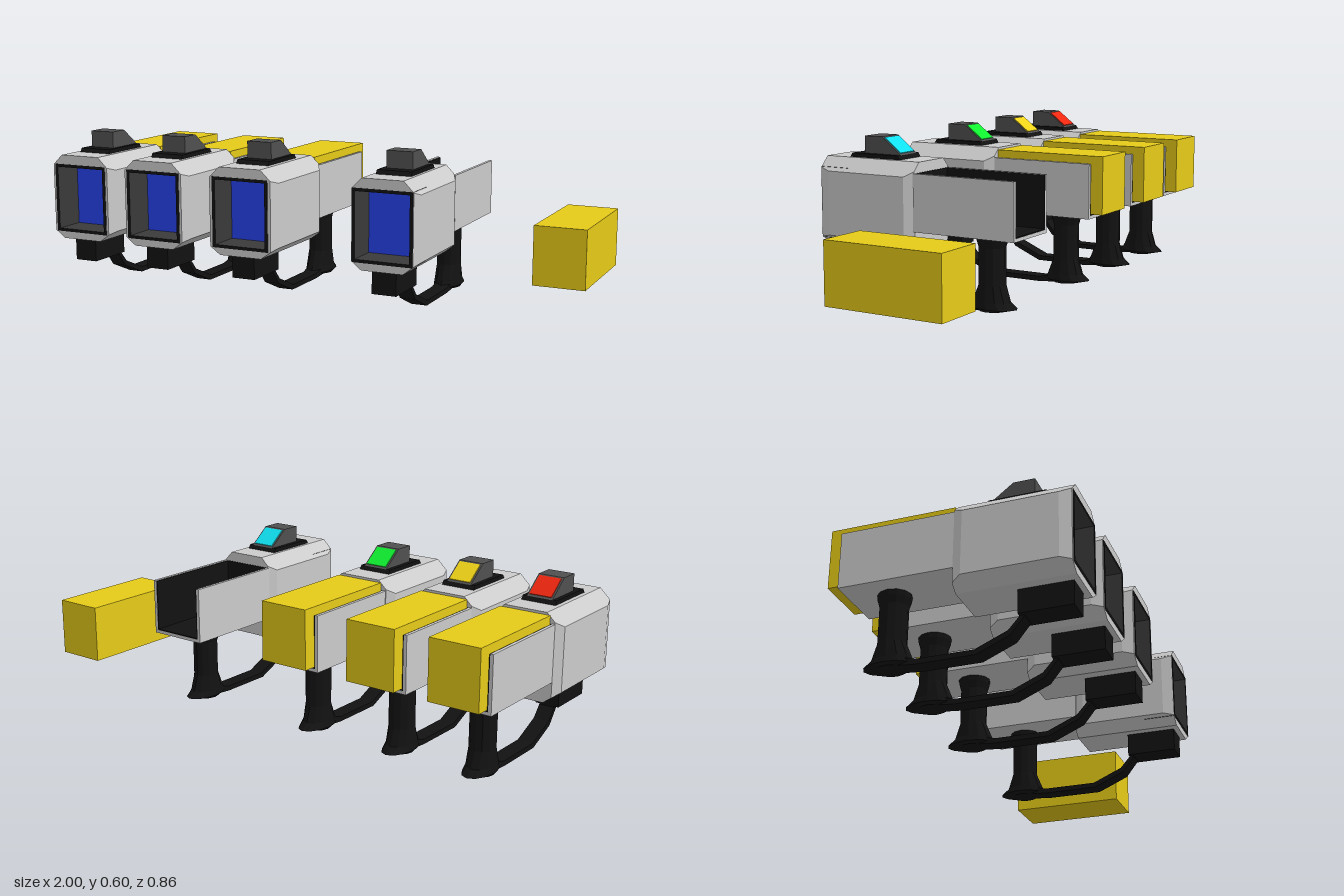
import * as THREE from 'three';

const mat = (color, side = THREE.FrontSide) =>
  new THREE.MeshStandardMaterial({ color, flatShading: true, side });
const GREY = mat(0xcccccc), BLACK = mat(0x121212), DARK = mat(0x505050), RECESS = mat(0x3a3a3a);
const YELLOW = mat(0xe6cb18), BLUE = mat(0x2640ea);

function add(parent, name, geometry, material) {
  const mesh = new THREE.Mesh(geometry, material);
  mesh.name = name;
  parent.add(mesh);
  return mesh;
}

// Box given by its limits on each axis
function box(parent, name, [x0, x1], [y0, y1], [z0, z1], material) {
  const mesh = add(parent, name, new THREE.BoxGeometry(x1 - x0, y1 - y0, z1 - z0), material);
  mesh.position.set((x0 + x1) / 2, (y0 + y1) / 2, (z0 + z1) / 2);
  return mesh;
}

const shapeOf = (pts) => new THREE.Shape(pts.map(([x, y]) => new THREE.Vector2(x, y)));
const rect = (hw, y0, y1) => [[-hw, y0], [hw, y0], [hw, y1], [-hw, y1]];

// Side profile of [z, y] points extruded across x
function sideExtrude(parent, name, pts, width, material) {
  const geo = new THREE.ExtrudeGeometry(shapeOf(pts), { depth: width, bevelEnabled: false });
  geo.translate(0, 0, -width / 2).rotateY(-Math.PI / 2);
  return add(parent, name, geo, material);
}

// Joins equal-sized rings of [x, y, z] points; rings advance so faces point outward
function loft(rings, capEnds = false) {
  const n = rings[0].length, idx = [];
  for (let r = 0; r < rings.length - 1; r++)
    for (let i = 0; i < n; i++) {
      const a = r * n + i, b = r * n + (i + 1) % n;
      idx.push(a, b, b + n, a, b + n, a + n);
    }
  const last = (rings.length - 1) * n;
  if (capEnds) for (let i = 1; i < n - 1; i++) idx.push(0, i + 1, i, last, last + i, last + i + 1);
  const geo = new THREE.BufferGeometry();
  geo.setAttribute('position', new THREE.Float32BufferAttribute(rings.flat(2), 3));
  geo.setIndex(idx);
  const flat = geo.toNonIndexed();
  flat.computeVertexNormals();
  return flat;
}

// Eight-sided body section; a narrower side slides along the chamfers
function section(hw, k) {
  const t = 0.083, f = (0.135 - hw) / (0.135 - t);
  const yLow = 0.238 - 0.038 * f, yHigh = 0.475 + 0.05 * f;
  return [[t, 0.2], [hw, yLow], [hw, yHigh], [t, 0.525],
    [-t, 0.525], [-hw, yHigh], [-hw, yLow], [-t, 0.2]].map(([x, y]) => [x * k, y]);
}

function uShape(outer, inner, bottom, floor, top) {
  return shapeOf([[-outer, top], [-outer, bottom], [outer, bottom], [outer, top],
    [inner, top], [inner, floor], [-inner, floor], [-inner, top]]);
}

function cartridge(parent, x, y, z) {
  box(parent, 'cartridge', [x - 0.097, x + 0.097], [y, y + 0.22], [z - 0.452, z], YELLOW);
}

function createBlaster(lightColor, widthScale, loaded) {
  const g = new THREE.Group();

  // Chamfered main housing
  const stations = [[0.025, 0.115], [0.06, 0.135], [0.39, 0.135], [0.43, 0.123]];
  add(g, 'housing', loft(stations.map(([z, hw]) => section(hw, widthScale).map(([x, y]) => [x, y, z]))), GREY);
  const rear = new THREE.ShapeGeometry(shapeOf(section(0.115, widthScale)));
  add(g, 'housingRear', rear.rotateY(Math.PI).translate(0, 0, 0.025), GREY);
  const frontShape = shapeOf(section(0.123, widthScale));
  frontShape.holes.push(new THREE.Path(rect(0.104, 0.236, 0.48).map((p) => new THREE.Vector2(...p))));
  add(g, 'housingFront', new THREE.ShapeGeometry(frontShape).translate(0, 0, 0.43), GREY);

  // Recessed muzzle with a coloured pane at its end
  const frame = shapeOf(rect(0.114, 0.227, 0.489));
  frame.holes.push(new THREE.Path(rect(0.102, 0.238, 0.478).map((p) => new THREE.Vector2(...p))));
  const frameGeo = new THREE.ExtrudeGeometry(frame, { depth: 0.122, bevelEnabled: false });
  add(g, 'muzzleFrame', frameGeo.translate(0, 0, 0.31), [BLACK, RECESS]);
  box(g, 'muzzlePane', [-0.103, 0.103], [0.237, 0.479], [0.3, 0.312], BLUE);

  // Open rear tray with a black lining
  const tray = uShape(0.115, 0.103, 0.28, 0.292, 0.488);
  const lining = uShape(0.103, 0.099, 0.292, 0.296, 0.486);
  for (const [name, shape, m, z] of [['tray', tray, GREY, -0.383], ['trayLining', lining, BLACK, -0.382]])
    add(g, name, new THREE.ExtrudeGeometry(shape, { depth: 0.027 - z, bevelEnabled: false }).translate(0, 0, z), m);
  box(g, 'trayEndPlate', [-0.1, 0.1], [0.293, 0.487], [0.022, 0.028], BLACK);
  if (loaded) cartridge(g, 0, 0.297, 0.022);

  // Top sight with a sloping indicator light
  sideExtrude(g, 'sightBase', [[0.115, 0.524], [0.335, 0.524], [0.325, 0.54], [0.125, 0.54]], 0.133, BLACK);
  sideExtrude(g, 'sightBlock', [[0.122, 0.54], [0.28, 0.54], [0.28, 0.603], [0.204, 0.603]], 0.1, DARK);
  const light = box(g, 'indicatorLight', [-0.043, 0.043], [0, 0.004], [0, 0.086], mat(lightColor));
  light.position.set(0, 0.573, 0.1625);
  light.rotation.x = -Math.atan2(0.063, 0.082);

  // Front block and the guard that sweeps back to the grip
  box(g, 'frontBlock', [-0.046, 0.046], [0.115, 0.203], [0.222, 0.41], BLACK);
  sideExtrude(g, 'handGuard', [[0.24, 0.12], [0.222, 0.12], [0.222, 0.112], [0.185, 0.07], [0.072, 0.021],
    [-0.13, 0.021], [-0.2, 0.04], [-0.2, 0.008], [-0.13, 0.002], [0.078, 0.002], [0.193, 0.052], [0.24, 0.112]],
    0.06, BLACK);

  // Flared grip: [y, z centre, z radius, x radius]
  const gripRings = [[0.283, -0.23, 0.06, 0.056], [0.262, -0.23, 0.058, 0.054], [0.235, -0.23, 0.05, 0.046],
    [0.1, -0.23, 0.05, 0.046], [0.04, -0.2275, 0.073, 0.05], [0.018, -0.235, 0.094, 0.053], [0.007, -0.23, 0.05, 0.045]];
  const ringPoints = ([y, zc, rz, rx]) => Array.from({ length: 12 }, (_, i) => {
    const a = (i / 12) * Math.PI * 2;
    return [Math.sin(a) * rx, y, zc + Math.cos(a) * rz];
  }).reverse();
  add(g, 'grip', loft(gripRings.map(ringPoints), true), BLACK);
  return g;
}

export function createModel() {
  const model = new THREE.Group();
  model.name = 'blasterSet';
  const variants = [
    ['redBlaster', -0.865, 0xf02810, 1, true],
    ['yellowBlaster', -0.538, 0xf0d418, 1, true],
    ['greenBlaster', -0.168, 0x10f030, 1.02, true],
    ['cyanBlaster', 0.39, 0x10e0f0, 0.94, false],
  ];
  for (const [name, x, color, widthScale, loaded] of variants) {
    const blaster = createBlaster(color, widthScale, loaded);
    blaster.name = name;
    blaster.position.x = x;
    model.add(blaster);
  }
  // Spare cartridge beside the empty blaster
  cartridge(model, 0.903, 0.111, 0.036);
  return model;
}
